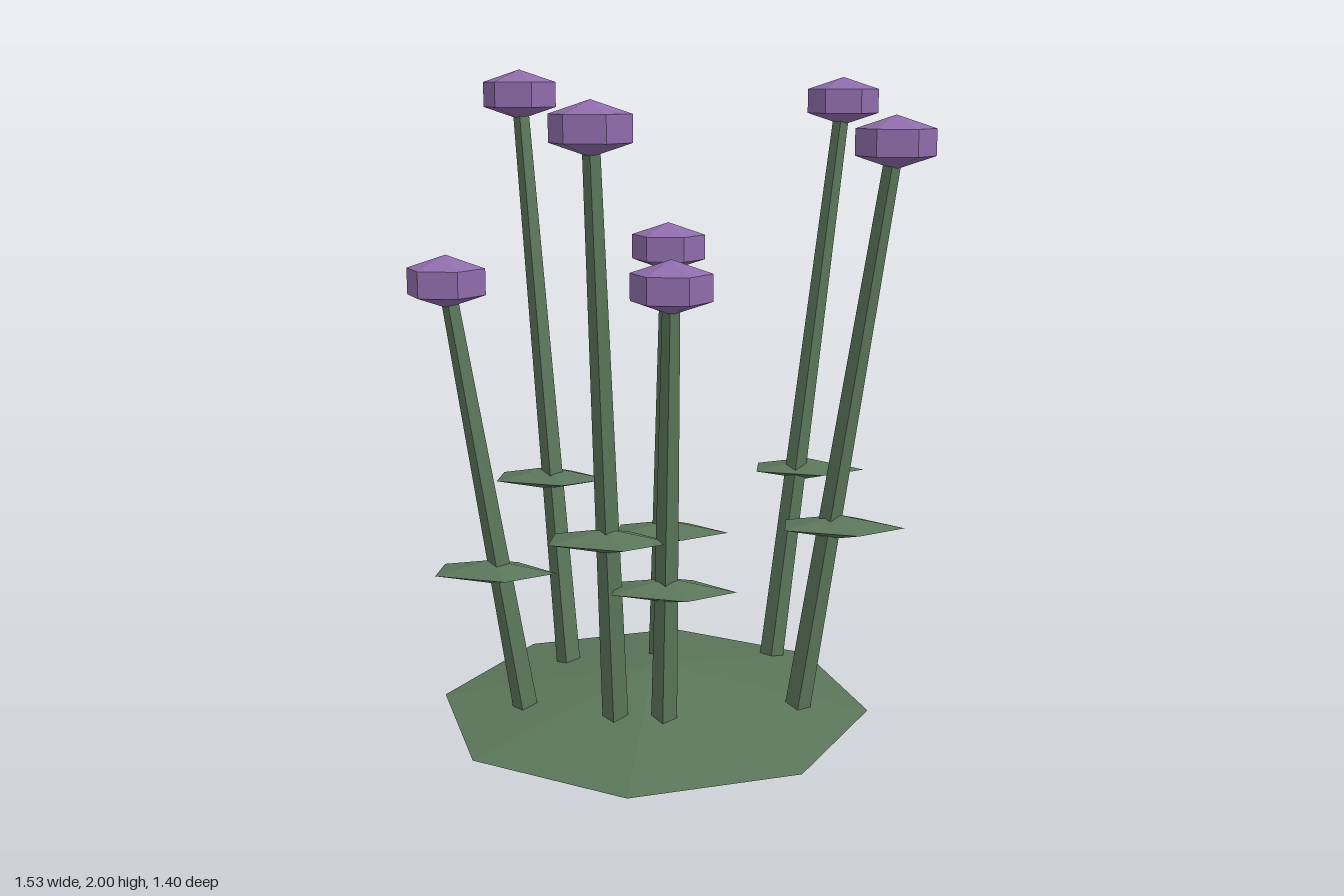
import * as THREE from 'three';

const green = new THREE.MeshStandardMaterial({ name: 'leafGreen', color: 0x5a7559, flatShading: true });
const purple = new THREE.MeshStandardMaterial({ name: 'blossomPurple', color: 0x8f6cab, flatShading: true });

// Each flower: stem foot [x, z], blossom centre [x, y, z], leaf centre [x, y, z]
const FLOWERS = [
  { foot: [0.29, -0.375], head: [0.5, 1.9, -0.6], leaf: [0.395, 0.67, -0.485] },
  { foot: [-0.375, -0.18], head: [-0.53, 1.922, -0.295], leaf: [-0.445, 0.68, -0.235] },
  { foot: [-0.07, -0.17], head: [-0.05, 1.445, -0.265], leaf: [-0.05, 0.515, -0.21] },
  { foot: [0.385, 0.08], head: [0.645, 1.79, 0.11], leaf: [0.505, 0.635, 0.095] },
  { foot: [-0.45, 0.175], head: [-0.65, 1.39, 0.25], leaf: [-0.545, 0.495, 0.205] },
  { foot: [-0.155, 0.29], head: [-0.195, 1.835, 0.42], leaf: [-0.172, 0.645, 0.345] },
  { foot: [-0.01, 0.29], head: [0.025, 1.4, 0.4], leaf: [0.01, 0.495, 0.33] },
];

// Six-sided faceted blossom
const headGeo = new THREE.SphereGeometry(1, 6, 3).scale(0.135, 0.078, 0.135);
// Five-sided double pyramid leaf, long along x with its tip at +x
const leafGeo = new THREE.SphereGeometry(1, 5, 2).rotateY(Math.PI).scale(0.2, 0.037, 0.105);

function addMesh(parent, name, geometry, material) {
  const mesh = new THREE.Mesh(geometry, material);
  mesh.name = name;
  parent.add(mesh);
  return mesh;
}

function makeFlower({ foot, head, leaf }) {
  const flower = new THREE.Group();
  flower.name = 'flower';

  // Square tapering stem leaning from foot to blossom
  const a = new THREE.Vector3(foot[0], 0.007, foot[1]);
  const b = new THREE.Vector3(...head);
  const dir = b.clone().sub(a);
  const stem = addMesh(flower, 'stem', new THREE.CylinderGeometry(0.025, 0.04, dir.length(), 4), green);
  stem.position.copy(a).add(b).multiplyScalar(0.5);
  stem.quaternion.setFromUnitVectors(new THREE.Vector3(0, 1, 0), dir.normalize());

  addMesh(flower, 'leaf', leafGeo, green).position.set(...leaf);
  addMesh(flower, 'blossom', headGeo, purple).position.copy(b);
  return flower;
}

export function createModel() {
  const model = new THREE.Group();
  model.name = 'flowerPatch';

  // Low eight-sided mound
  const mound = addMesh(model, 'mound', new THREE.ConeGeometry(0.68, 0.13, 8), green);
  mound.position.set(-0.07, 0.077, 0.02);

  for (const f of FLOWERS) model.add(makeFlower(f));
  return model;
}
